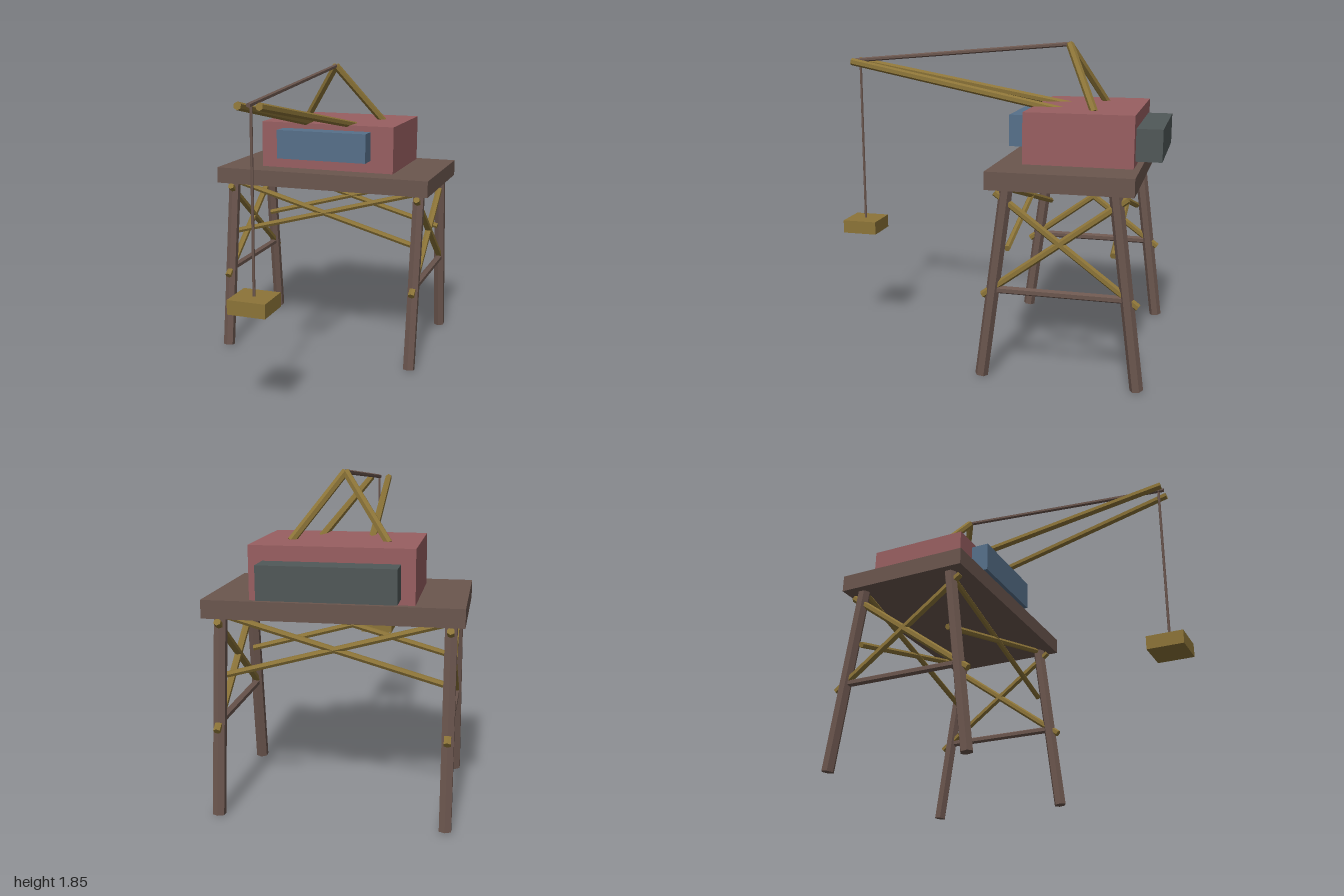
import * as THREE from 'three';

const mat = (name, hex) => {
  const m = new THREE.MeshStandardMaterial({ color: hex });
  m.name = name;
  return m;
};

export function createModel() {
  const model = new THREE.Group();
  model.name = 'dockCrane';
  const brown = mat('darkTimber', 0x6b564e);
  const ochre = mat('ochreTimber', 0x8c7438);
  const red = mat('cabinRed', 0x985f61);
  const blue = mat('windowBlue', 0x56708a);
  const grey = mat('ballastGrey', 0x505858);
  const midZ = -0.49; // centre line of the trestle

  // Box from its minimum and maximum corners
  const box = (name, material, a, b) => {
    const mesh = new THREE.Mesh(new THREE.BoxGeometry(b[0] - a[0], b[1] - a[1], b[2] - a[2]), material);
    mesh.position.set((a[0] + b[0]) / 2, (a[1] + b[1]) / 2, (a[2] + b[2]) / 2);
    mesh.name = name;
    model.add(mesh);
  };

  // Six-sided pole between two points
  const pole = (name, material, a, b, r) => {
    const p = new THREE.Vector3(...a), q = new THREE.Vector3(...b);
    const dir = q.clone().sub(p);
    const geo = new THREE.CylinderGeometry(r, r, dir.length(), 6).toNonIndexed();
    geo.computeVertexNormals();
    const mesh = new THREE.Mesh(geo, material);
    mesh.position.copy(p).add(q).multiplyScalar(0.5);
    mesh.quaternion.setFromUnitVectors(new THREE.Vector3(0, 1, 0), dir.normalize());
    mesh.name = name;
    model.add(mesh);
  };

  // Deck, cabin, window bay, rear ballast and hanging load
  box('deck', brown, [-0.69, 1.09, -0.89], [0.69, 1.19, -0.09]);
  box('cabin', red, [-0.435, 1.185, -0.855], [0.435, 1.48, -0.24]);
  box('windowBay', blue, [-0.29, 1.265, -0.25], [0.29, 1.445, -0.13]);
  box('counterweight', grey, [-0.36, 1.22, -1], [0.36, 1.4, -0.845]);
  box('load', ochre, [-0.108, 0.63, 0.785], [0.108, 0.71, 1]);

  for (const side of [-1, 1]) {
    const x = side * 0.615;
    for (const end of [-1, 1]) {
      // Splayed legs
      pole('leg', brown, [x, 0.005, midZ + end * 0.437], [x, 1.1, midZ + end * 0.294], 0.037);
      // Crossed braces on each side of the trestle
      pole('sideBrace', ochre, [x, 1.065, midZ + end * 0.36], [x, 0.478, midZ - end * 0.43], 0.021);
      // Crossed braces at the front and back
      pole('crossBrace', ochre, [-side * 0.61, 1.09, midZ + end * 0.29], [side * 0.61, 0.752, midZ + end * 0.29], 0.018);
    }
    pole('sideBeam', brown, [x, 0.515, midZ + 0.37], [x, 0.515, midZ - 0.37], 0.022);

    // Twin boom and rear A-frame
    pole('boom', ochre, [side * 0.147, 1.455, -0.43], [side * 0.06, 1.71, 0.925], 0.022);
    pole('mast', ochre, [side * 0.265, 1.47, -0.61], [0, 1.83, -0.42], 0.023);
  }

  // Stay from mast to boom tip, and the hoist line
  pole('stay', brown, [0, 1.83, -0.42], [0, 1.715, 0.925], 0.013);
  pole('hoistLine', brown, [0, 0.7, 0.893], [0, 1.715, 0.893], 0.008);

  return model;
}
